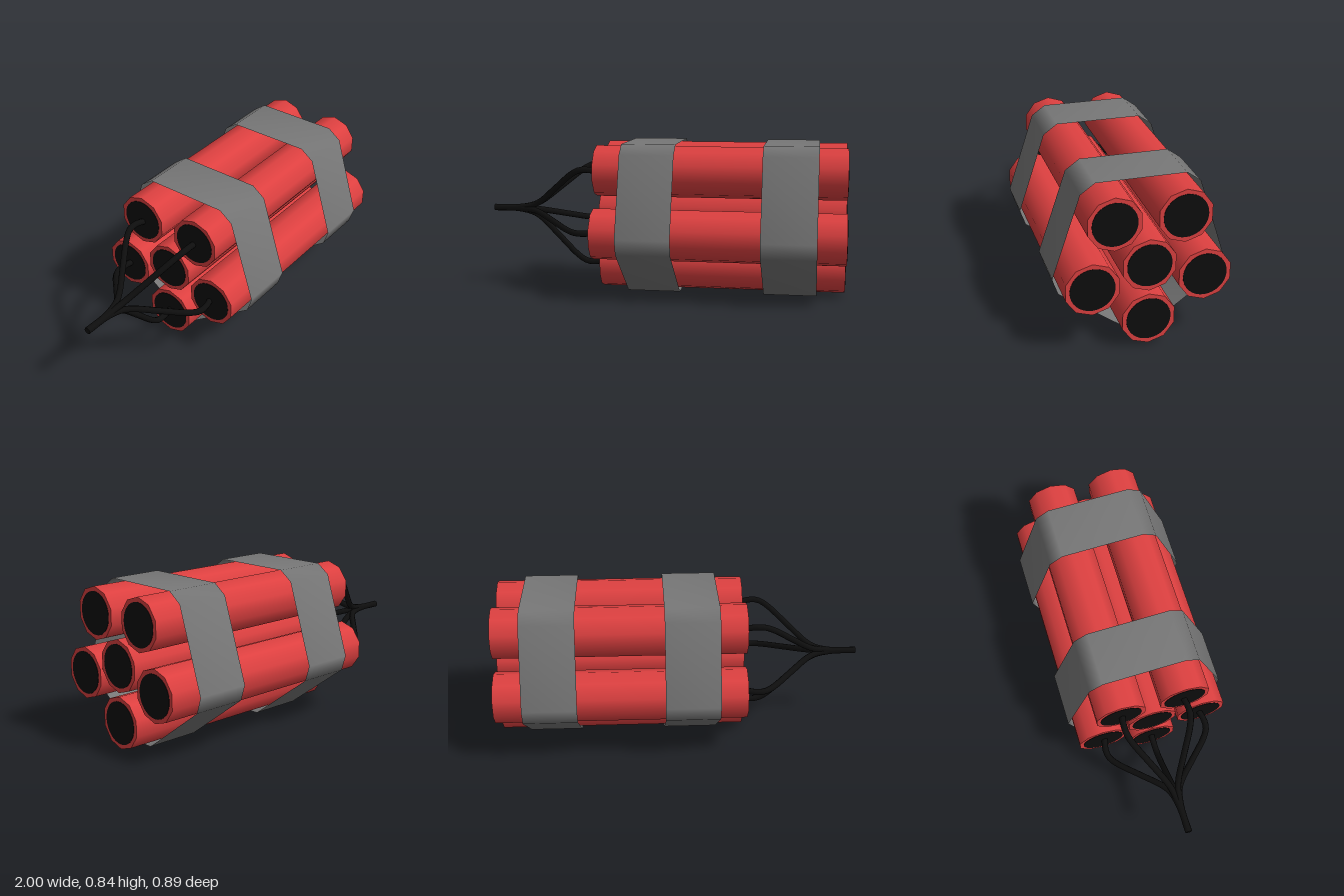
import * as THREE from 'three';

const AXIS_Y = 0.456, RING = 0.298, STICK_R = 0.139;
const X0 = -0.357, X1 = 1;

export function createModel() {
  const red = new THREE.MeshStandardMaterial({ color: 0xdd4040 });
  red.name = 'red paper';
  const black = new THREE.MeshStandardMaterial({ color: 0x0e0e0e });
  black.name = 'black powder';
  const grey = new THREE.MeshStandardMaterial({ color: 0x777777, side: THREE.DoubleSide });
  grey.name = 'grey tape';

  const model = new THREE.Group();
  model.name = 'stickBundle';
  const add = (parent, name, geometry, material) => {
    const mesh = new THREE.Mesh(geometry, material);
    mesh.name = name;
    parent.add(mesh);
    return mesh;
  };

  // Five directions around the bundle axis, the first pointing straight down
  const angles = Array.from({ length: 5 }, (_, i) => -Math.PI / 2 + (i * Math.PI * 2) / 5);
  const around = (x, r, a) => new THREE.Vector3(x, AXIS_Y + r * Math.sin(a), r * Math.cos(a));

  // Ten-sided sticks along x with a dark round disc on each end
  const stickGeo = new THREE.CylinderGeometry(STICK_R, STICK_R, X1 - X0, 10, 1, false, Math.PI / 2);
  stickGeo.rotateZ(Math.PI / 2);
  const discGeo = new THREE.CylinderGeometry(0.113, 0.113, 0.004, 32);
  discGeo.rotateZ(Math.PI / 2);
  const addStick = (name, centre) => {
    const stick = new THREE.Group();
    stick.name = name;
    stick.position.copy(centre);
    add(stick, 'stickBody', stickGeo, red);
    const half = (X1 - X0) / 2;
    add(stick, 'leftEndDisc', discGeo, black).position.x = half;
    add(stick, 'rightEndDisc', discGeo, black).position.x = -half;
    model.add(stick);
  };
  const mid = (X0 + X1) / 2;
  addStick('centreStick', around(mid, 0, 0));
  angles.forEach((a) => addStick('outerStick', around(mid, RING, a)));

  // Open tape bands: a pentagon with bevelled corners, smooth shaded
  const outline = [];
  for (const a of angles) {
    for (const t of [-0.045, 0.045]) {
      const r = RING + 0.154;
      outline.push([
        AXIS_Y + r * Math.sin(a) + t * Math.cos(a),
        r * Math.cos(a) - t * Math.sin(a),
      ]);
    }
  }
  const bandGeometry = (xa, xb) => {
    const positions = [], index = [], n = outline.length;
    outline.forEach(([y, z], i) => {
      positions.push(xa, y, z, xb, y, z);
      const p = 2 * i, q = 2 * ((i + 1) % n);
      index.push(p, q, p + 1, p + 1, q, q + 1);
    });
    const g = new THREE.BufferGeometry();
    g.setAttribute('position', new THREE.Float32BufferAttribute(positions, 3));
    // Wind the faces so that they point away from the axis
    for (let i = 0; i < index.length; i += 3) {
      [index[i + 1], index[i + 2]] = [index[i + 2], index[i + 1]];
    }
    g.setIndex(index);
    g.computeVertexNormals();
    return g;
  };
  add(model, 'rightTapeBand', bandGeometry(-0.21, 0.085), grey);
  add(model, 'leftTapeBand', bandGeometry(0.555, 0.848), grey);

  // Fuses leave the outer sticks and gather into one cord: [x, distance from axis]
  const fuseProfile = [
    [-0.35, 0.288], [-0.41, 0.302], [-0.46, 0.297], [-0.51, 0.265],
    [-0.62, 0.155], [-0.72, 0.055], [-0.77, 0.024], [-0.86, 0.004], [-1, 0.002],
  ];
  for (const a of angles) {
    const path = new THREE.CatmullRomCurve3(fuseProfile.map(([x, r]) => around(x, r, a)));
    add(model, 'fuse', new THREE.TubeGeometry(path, 32, 0.017, 8), black);
  }
  // Cap closing the end of the gathered cord
  const cap = new THREE.CylinderGeometry(0.018, 0.018, 0.01, 10);
  cap.rotateZ(Math.PI / 2);
  add(model, 'fuseTip', cap, black).position.set(-0.995, AXIS_Y, 0);

  return model;
}
